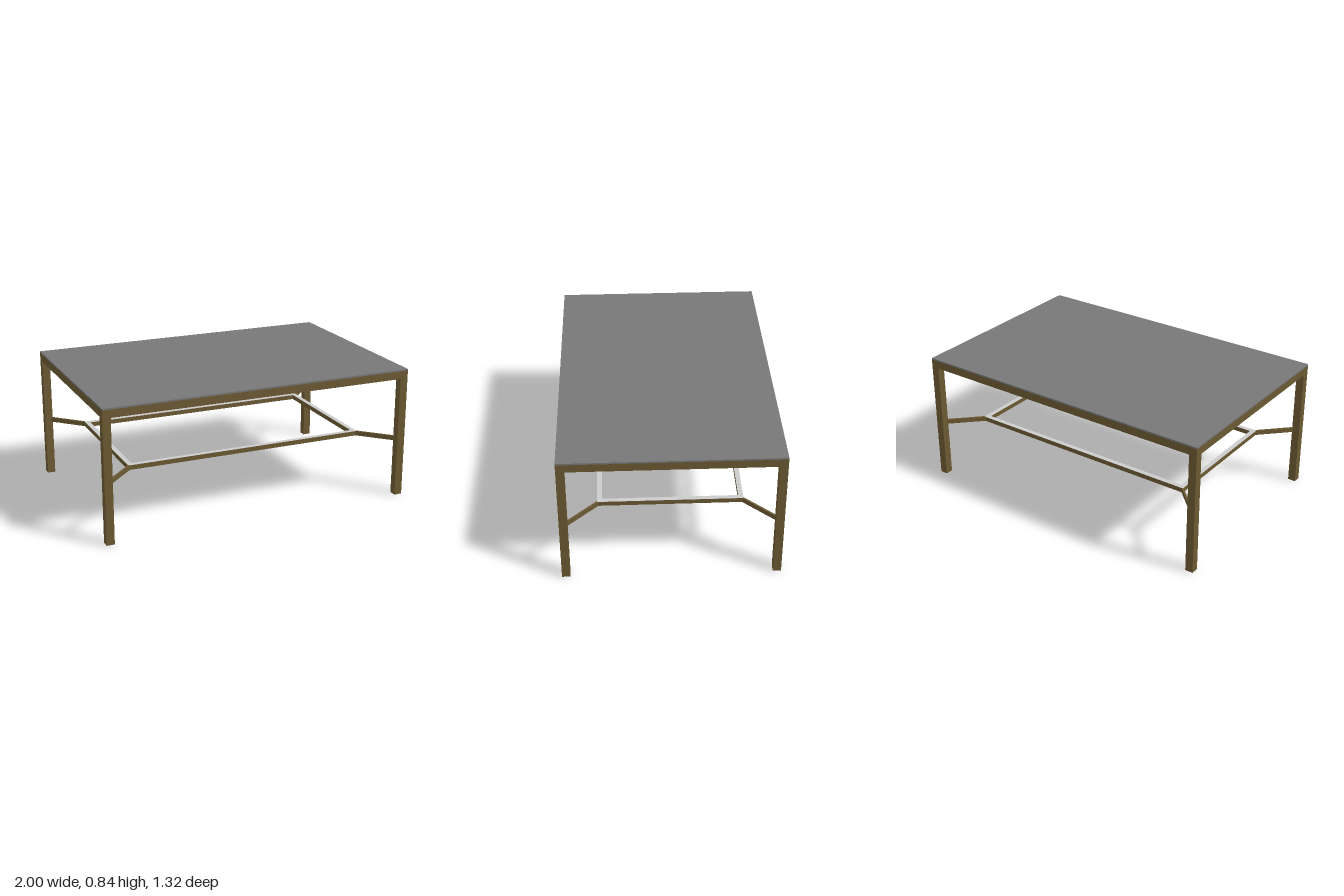
import * as THREE from 'three';

const W = 1, D = 0.66, T = 0.05;          // half width, half depth, post thickness
const FX = 0.78, FZ = 0.44, B = 0.03;     // stretcher ring half sizes, bar width

export function createModel() {
  const table = new THREE.Group();
  table.name = 'table';
  const brown = new THREE.MeshStandardMaterial({ color: 0x6b5a32 });
  const slate = new THREE.MeshStandardMaterial({ color: 0x777777 });
  const grey = new THREE.MeshStandardMaterial({ color: 0xcccccc });

  const box = (name, mat, w, h, d, x, y, z) => {
    const mesh = new THREE.Mesh(new THREE.BoxGeometry(w, h, d), mat);
    mesh.name = name;
    mesh.position.set(x, y, z);
    table.add(mesh);
    return mesh;
  };

  // Flat rectangular ring lying at height y
  const ring = (name, mat, hx, hz, width, y, height) => {
    const rect = (C, a, b) => new C([[-a, -b], [a, -b], [a, b], [-a, b]].map(p => new THREE.Vector2(...p)));
    const shape = rect(THREE.Shape, hx, hz);
    shape.holes.push(rect(THREE.Path, hx - width, hz - width));
    const geo = new THREE.ExtrudeGeometry(shape, { depth: height, bevelEnabled: false });
    const mesh = new THREE.Mesh(geo.rotateX(-Math.PI / 2), mat);
    mesh.name = name;
    mesh.position.y = y;
    table.add(mesh);
  };

  // Top slab and the rails beneath it
  box('tableTop', slate, 2 * W, 0.01, 2 * D, 0, 0.835, 0);
  ring('topRails', brown, W, D, T, 0.78, 0.05);

  // Stretcher ring with a pale upper face
  ring('stretcherRing', brown, FX, FZ, B, 0.36, 0.029);
  ring('stretcherUpperFace', grey, FX, FZ, B, 0.389, 0.001);

  // Legs, each tied to a ring corner by a thin diagonal brace
  const x0 = FX - 0.005, z0 = FZ - 0.005, x1 = W - T + 0.005, z1 = D - T + 0.005;
  for (const sx of [-1, 1]) for (const sz of [-1, 1]) {
    box('leg', brown, T, 0.78, T, sx * (W - T / 2), 0.39, sz * (D - T / 2));
    const brace = box('diagonalBrace', brown, Math.hypot(x1 - x0, z1 - z0), 0.03, 0.012,
      sx * (x0 + x1) / 2, 0.375, sz * (z0 + z1) / 2);
    brace.rotation.y = -sx * sz * Math.atan2(z1 - z0, x1 - x0);
  }
  return table;
}
